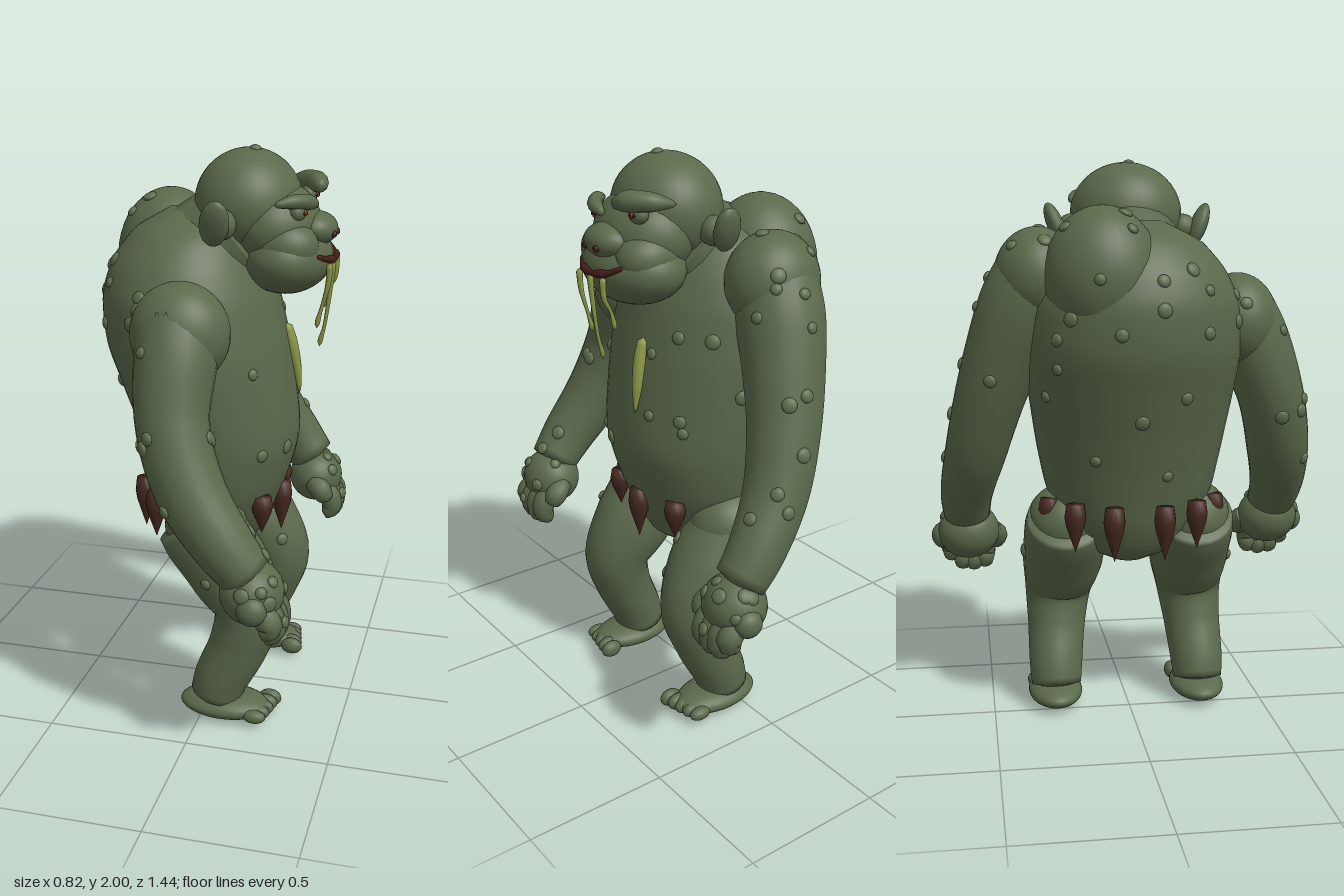
import * as THREE from 'three';
import { mergeVertices } from 'three/addons/utils/BufferGeometryUtils.js';

const mat = (name, color) => {
  const m = new THREE.MeshStandardMaterial({ color });
  m.name = name;
  return m;
};

export function createModel() {
  const skin = mat('mossy green skin', 0x5b694b);
  const wartSkin = mat('wart green', 0x5f6e4e);
  const hide = mat('brown hide', 0x44281f);
  const lip = mat('dark red lip', 0x451c15);
  const slime = mat('slime', 0x8b9646);
  const red = mat('red iris', 0x8f3420);
  const dark = mat('dark', 0x1f1612);

  const model = new THREE.Group();
  model.name = 'troll';
  const solids = []; // surfaces that may carry warts

  const add = (name, geo, material = skin) => {
    const mesh = new THREE.Mesh(geo, material);
    mesh.name = name;
    model.add(mesh);
    if (material === skin) solids.push(mesh);
    return mesh;
  };
  const smooth = (geo) => {
    geo.deleteAttribute('normal');
    geo.deleteAttribute('uv');
    const g = mergeVertices(geo, 1e-5);
    g.computeVertexNormals();
    return g;
  };
  const ball = (name, [x, y, z], [rx, ry, rz], material = skin, n = 32) => {
    const mesh = add(name, new THREE.SphereGeometry(1, n, Math.ceil(n * 0.7)), material);
    mesh.position.set(x, y, z);
    mesh.scale.set(rx, ry, rz);
    return mesh;
  };
  // Tube along [x, y, z, radius] points, closed at both ends
  const sweep = (name, pts, material = skin, seg = 36, sides = 24) => {
    const path = new THREE.CatmullRomCurve3(pts.map((p) => new THREE.Vector3(p[0], p[1], p[2])));
    const radii = new THREE.CatmullRomCurve3(pts.map((p) => new THREE.Vector3(p[3], 0, 0)));
    const geo = new THREE.TubeGeometry(path, seg, 1, sides);
    const pos = geo.attributes.position;
    const v = new THREE.Vector3();
    for (let i = 0; i <= seg; i++) {
      const c = path.getPointAt(i / seg);
      const r = i === 0 || i === seg ? 0 : radii.getPoint(path.getUtoTmapping(i / seg)).x;
      for (let j = 0; j <= sides; j++) {
        const k = i * (sides + 1) + j;
        v.fromBufferAttribute(pos, k).sub(c).multiplyScalar(r).add(c);
        pos.setXYZ(k, v.x, v.y, v.z);
      }
    }
    return add(name, smooth(geo), material);
  };

  // Torso from oval sections: y, centre x, half depth, half width
  const sections = [
    [0.57, 0.01, 0.04, 0.05], [0.62, 0.0, 0.14, 0.15], [0.72, 0.0, 0.195, 0.24],
    [0.84, 0.005, 0.235, 0.3], [1.0, 0.0, 0.28, 0.335], [1.2, -0.045, 0.305, 0.365],
    [1.35, -0.083, 0.317, 0.38], [1.5, -0.105, 0.305, 0.37], [1.62, -0.11, 0.265, 0.32],
    [1.72, -0.1, 0.2, 0.235], [1.79, -0.09, 0.09, 0.1],
  ];
  const centres = new THREE.CatmullRomCurve3(sections.map((s) => new THREE.Vector3(s[1], s[0], 0)));
  const halves = new THREE.CatmullRomCurve3(sections.map((s) => new THREE.Vector3(s[2], 0, s[3])));
  const torso = new THREE.CylinderGeometry(1, 1, 1, 48, 48);
  const tp = torso.attributes.position;
  for (let i = 0; i < tp.count; i++) {
    const t = THREE.MathUtils.clamp(tp.getY(i) + 0.5, 0, 1);
    const c = centres.getPoint(t), h = halves.getPoint(t);
    tp.setXYZ(i, c.x + tp.getX(i) * h.x, c.y, tp.getZ(i) * h.z);
  }
  add('torso', smooth(torso));
  ball('hump', [-0.215, 1.6, -0.12], [0.19, 0.24, 0.2]);
  sweep('neck', [[-0.16, 1.5, 0, 0.19], [-0.05, 1.62, 0, 0.2], [0.09, 1.73, 0, 0.18]]);

  // Arms: a low left-hand one and a raised one beside the hump
  ball('shoulder', [-0.04, 1.44, 0.38], [0.165, 0.17, 0.145]);
  sweep('arm', [[-0.05, 1.5, 0.37, 0.13], [-0.04, 1.38, 0.43, 0.135], [-0.03, 1.18, 0.51, 0.12],
    [0.04, 0.98, 0.56, 0.115], [0.16, 0.81, 0.59, 0.1], [0.25, 0.7, 0.585, 0.085]]);
  ball('raisedShoulder', [-0.09, 1.6, -0.33], [0.165, 0.17, 0.15]);
  sweep('raisedArm', [[-0.1, 1.66, -0.32, 0.13], [-0.08, 1.5, -0.385, 0.148], [-0.05, 1.34, -0.445, 0.137],
    [-0.01, 1.17, -0.5, 0.123], [0.06, 0.97, -0.55, 0.11], [0.17, 0.8, -0.585, 0.096], [0.25, 0.69, -0.585, 0.085]]);

  for (const s of [1, -1]) {
    // Lumpy fist with curled fingers and thumb
    const dy = s > 0 ? -0.012 : -0.035;
    ball('palm', [0.25, 0.67 + dy, s * 0.58], [0.105, 0.105, 0.115]);
    for (let i = 0; i < 4; i++) {
      const z = s * (0.52 + i * 0.042);
      const drop = [0.01, 0, 0.005, 0.04][i];
      sweep('finger', [[0.27, 0.65 + dy, z, 0.035], [0.32, 0.6 + dy, z, 0.043],
        [0.325, 0.54 + dy + drop, z, 0.038], [0.29, 0.52 + dy + drop, z, 0.028]], skin, 14, 12);
    }
    sweep('thumb', [[0.25, 0.67 + dy, s * 0.5, 0.04], [0.29, 0.64 + dy, s * 0.475, 0.042],
      [0.31, 0.6 + dy, s * 0.485, 0.03]], skin, 14, 12);
    ball('outerKnuckle', [0.27, 0.65 + dy, s * 0.675], [0.05, 0.05, 0.045], skin, 16);

    // Leg leaning forward from the hip, foot and toes
    sweep('leg', [[-0.06, 0.765, s * 0.235, 0.135], [0.005, 0.68, s * 0.234, 0.15], [0.09, 0.565, s * 0.237, 0.148],
      [0.162, 0.43, s * 0.25, 0.124], [0.133, 0.29, s * 0.26, 0.107], [0.07, 0.15, s * 0.268, 0.098],
      [0.045, 0.065, s * 0.268, 0.09]]);
    ball('hip', [0.005, 0.72, s * 0.235], [0.145, 0.135, 0.137]);
    ball('foot', [0.085, 0.05, s * 0.27], [0.165, 0.047, 0.1]);
    for (let i = 0; i < 5; i++) {
      const r = 0.032 - i * 0.002;
      ball('toe', [0.235 - i * 0.007, 0.045, s * (0.198 + i * 0.036)], [0.042, r, 0.025], skin, 14);
    }

    // Ear, leaning outwards at the top
    const ear = ball('ear', [0.04, 1.775, s * 0.255], [0.05, 0.083, 0.03], skin, 20);
    ear.rotation.set(s * 0.38, 0, -0.2);
    ball('earRoot', [0.055, 1.765, s * 0.2], [0.045, 0.05, 0.05], skin, 16);
    // Cheek and nostril
    ball('cheek', [0.24, 1.685, s * 0.1], [0.115, 0.09, 0.095]);
    ball('nostril', [0.393, 1.722, s * 0.032], [0.01, 0.012, 0.013], lip, 12);
    // Eye, one set higher than the other
    const ey = s > 0 ? 1.8 : 1.832;
    ball('eyelid', [0.28, ey, s * 0.11], [0.03, 0.032, 0.038], skin, 16);
    ball('eyeball', [0.294, ey, s * 0.11], [0.02, 0.013, 0.024], dark, 16);
    ball('iris', [0.306, ey, s * 0.11], [0.01, 0.011, 0.013], red, 14);
    ball('pupil', [0.315, ey, s * 0.11], [0.003, 0.006, 0.006], dark, 10);
  }

  // Head
  ball('skull', [0.095, 1.812, 0], [0.183, 0.183, 0.2]);
  ball('face', [0.185, 1.74, 0], [0.16, 0.15, 0.19]);
  ball('jaw', [0.23, 1.638, 0], [0.155, 0.125, 0.212]);
  ball('nose', [0.325, 1.735, 0], [0.075, 0.058, 0.092]);
  sweep('lowBrow', [[0.22, 1.83, 0.185, 0.008], [0.275, 1.838, 0.14, 0.024], [0.315, 1.832, 0.09, 0.025],
    [0.33, 1.815, 0.02, 0.01]], skin, 18, 12);
  sweep('raisedBrow', [[0.19, 1.865, -0.19, 0.008], [0.26, 1.875, -0.155, 0.032], [0.31, 1.875, -0.1, 0.036],
    [0.335, 1.86, -0.04, 0.014]], skin, 18, 12);
  sweep('mouth', [[0.347, 1.662, 0.125, 0.008], [0.38, 1.644, 0.07, 0.0095], [0.395, 1.638, 0, 0.0095],
    [0.38, 1.647, -0.07, 0.0095], [0.347, 1.672, -0.122, 0.008]], lip, 24, 10);

  // Dripping slime
  for (const [z, end] of [[0.08, 1.41], [0.015, 1.33], [-0.06, 1.45]]) {
    sweep('drool', [[0.39, 1.635, z, 0.012], [0.385, 1.56, z, 0.009], [0.365, end + 0.07, z - 0.003, 0.006],
      [0.352, end + 0.02, z - 0.004, 0.009], [0.35, end, z - 0.004, 0.004]], slime, 20, 8);
  }
  sweep('chestSlime', [[0.222, 1.395, -0.04, 0.018], [0.24, 1.32, -0.045, 0.024], [0.26, 1.23, -0.053, 0.018],
    [0.273, 1.14, -0.058, 0.004]], slime, 20, 10);

  // Hide points hanging round the waist: x, z, length
  const point = new THREE.LatheGeometry([[0, -0.19], [0.016, -0.14], [0.033, -0.085], [0.038, -0.05],
    [0.032, 0], [0, 0.002]].map((p) => new THREE.Vector2(...p)), 14);
  for (const [x, z, length] of [[0.225, 0, 1], [0.19, 0.17, 0.72], [-0.07, 0.297, 0.8], [-0.183, 0.215, 0.9],
    [-0.262, 0.088, 1]]) {
    for (const s of z ? [1, -1] : [1]) {
      const mesh = add('hidePoint', point, hide);
      mesh.position.set(x, 0.82, s * z);
      mesh.scale.y = length;
    }
  }

  // Warts, dropped onto the skin along an axis; pairs are the two other coordinates
  model.updateMatrixWorld(true);
  const ray = new THREE.Raycaster();
  const wartGeo = new THREE.SphereGeometry(1, 12, 8);
  const warts = (axis, sign, pairs) => {
    pairs.forEach(([a, b], i) => {
      const from = axis === 'x' ? [sign * 3, b, a] : axis === 'y' ? [a, 3, b] : [a, b, sign * 3];
      const dir = new THREE.Vector3();
      dir[axis] = -sign;
      ray.set(new THREE.Vector3(...from), dir);
      const hit = ray.intersectObjects(solids, false)[0];
      if (!hit) return;
      const n = hit.face.normal.clone().transformDirection(hit.object.matrixWorld);
      const r = 0.02 + 0.003 * (i % 3);
      const mesh = new THREE.Mesh(wartGeo, wartSkin);
      mesh.name = 'wart';
      mesh.position.copy(hit.point);
      mesh.quaternion.setFromUnitVectors(new THREE.Vector3(0, 1, 0), n);
      mesh.scale.set(r, 0.012, r);
      model.add(mesh);
    });
  };
  warts('x', 1, [[0.245, 1.28], [0.23, 0.99], [0.11, 0.99], [-0.09, 1.35], [-0.18, 1.42], [-0.28, 1.42],
    [-0.11, 1.14], [-0.22, 1.14], [-0.35, 1.23], [-0.59, 0.93], [-0.63, 1.01], [-0.45, 1.66], [-0.43, 1.53],
    [0.53, 1.15], [0.54, 0.85], [0.34, 0.64], [-0.13, 0.53], [-0.155, 0.67], [0.62, 0.72], [0.53, 0.66],
    [0.66, 0.66], [0.61, 0.58], [-0.52, 0.68], [-0.6, 0.7], [-0.67, 0.64], [-0.56, 0.57]]);
  warts('z', 1, [[-0.33, 1.56], [-0.19, 1.54], [-0.22, 1.45], [-0.125, 1.41], [-0.08, 1.16], [-0.1, 1.12],
    [0.04, 0.56], [-0.02, 0.93], [0.24, 0.69], [0.3, 0.7]]);
  warts('y', 1, [[0.12, 0.015], [-0.27, -0.25], [-0.27, -0.05], [-0.33, -0.035], [-0.38, 0.06], [-0.33, 0.165],
    [-0.17, -0.42], [-0.05, -0.32], [0.04, -0.58], [0.12, -0.63], [0.2, -0.59], [-0.2, -0.31], [-0.08, -0.5],
    [-0.19, 0.38], [0.1, 0.51], [0.27, 0.51], [0.29, 0.57], [0.27, -0.66], [0.3, -0.55]]);
  warts('x', -1, [[-0.15, 1.6], [-0.08, 1.42], [0.06, 1.5], [-0.28, 1.3], [0.15, 1.2], [0, 1.12], [-0.15, 0.98],
    [0.22, 1.42], [-0.24, 1.47], [0.1, 0.92], [-0.5, 1.25], [0.53, 1.1]]);
  warts('z', -1, [[-0.08, 1.5], [-0.02, 1.3], [0.02, 1.12], [0, 1.62], [0.1, 0.95], [0.05, 0.6], [0.2, 1.1],
    [-0.3, 1.4], [0.25, 0.7], [-0.2, 1.2]]);

  return model;
}
